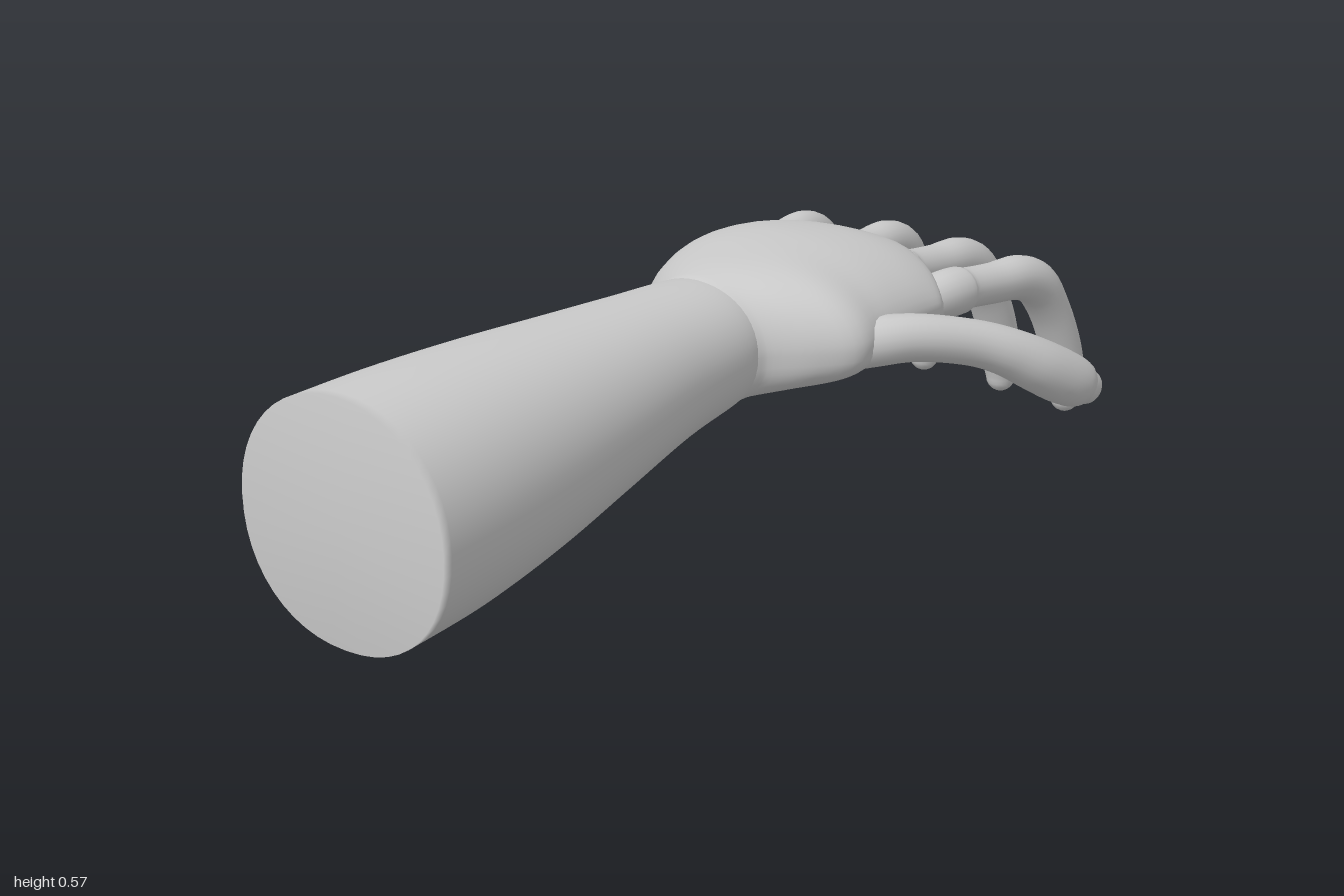
import * as THREE from 'three';

const skin = new THREE.MeshStandardMaterial({ color: 0xcccccc });
skin.name = 'pale grey';

// Skin a list of rings and close both ends with a point.
function loft(name, rings, startTip, endTip) {
  const n = rings[0].length;
  const pos = [], idx = [];
  const add = (p) => pos.push(p.x, p.y, p.z) / 3 - 1;
  rings.forEach((r) => r.forEach(add));
  for (let i = 0; i < rings.length - 1; i++) {
    for (let j = 0; j < n; j++) {
      const a = i * n + j, b = i * n + (j + 1) % n;
      idx.push(a, b, a + n, b, b + n, a + n);
    }
  }
  const start = add(startTip), end = add(endTip), last = (rings.length - 1) * n;
  for (let j = 0; j < n; j++) {
    const k = (j + 1) % n;
    idx.push(start, k, j, end, last + j, last + k);
  }
  const g = new THREE.BufferGeometry();
  g.setAttribute('position', new THREE.Float32BufferAttribute(pos, 3));
  g.setIndex(idx);
  g.computeVertexNormals();
  const mesh = new THREE.Mesh(g, skin);
  mesh.name = name;
  return mesh;
}

// Smoothly sample rows of numbers (Catmull-Rom on every column).
function sample(rows, steps) {
  const out = [];
  for (let k = 0; k <= steps; k++) {
    const t = (k / steps) * (rows.length - 1);
    const i = Math.min(Math.floor(t), rows.length - 2), f = t - i;
    const row = (q) => rows[Math.max(0, Math.min(rows.length - 1, q))];
    out.push(rows[0].map((_, c) => {
      const [a, b, d, e] = [row(i - 1)[c], row(i)[c], row(i + 1)[c], row(i + 2)[c]];
      return b + 0.5 * f * (d - a + f * (2 * a - 5 * b + 4 * d - e + f * (3 * (b - d) + e - a)));
    }));
  }
  return out;
}

const power = (v, p) => Math.sign(v) * Math.abs(v) ** p;

// Cross-section across x: [x, top, bottom, zMin, zMax, edge height];
// the powers shape the upper width, lower width, top and bottom.
function section([x, top, bottom, z0, z1, mid], [pUpper, pLower, pTop, pBottom], bend = () => 0) {
  const n = 48;
  return Array.from({ length: n }, (_, j) => {
    const a = (j / n) * Math.PI * 2, c = Math.cos(a);
    const y = c > 0 ? mid + c ** pTop * (top - mid) : mid - Math.abs(c) ** pBottom * (mid - bottom);
    const z = (z0 + z1) / 2 + power(Math.sin(a), c > 0 ? pUpper : pLower) * (z1 - z0) / 2;
    return new THREE.Vector3(x - bend(x, z), y, z);
  });
}

function forearm() {
  const rows = [
    [-1, 0.571, 0.098, -0.332, 0.142, 0.335],
    [-0.8, 0.566, 0.11, -0.325, 0.135, 0.34],
    [-0.6, 0.556, 0.143, -0.303, 0.12, 0.35],
    [-0.4, 0.542, 0.19, -0.272, 0.1, 0.365],
    [-0.2, 0.527, 0.235, -0.243, 0.078, 0.38],
    [-0.03, 0.512, 0.26, -0.228, 0.064, 0.385],
    [0.03, 0.495, 0.29, -0.205, 0.04, 0.385],
  ];
  const rings = sample(rows, 36).map((r) => section(r, [0.96, 0.92, 0.98, 0.92]));
  return loft('forearm', rings, new THREE.Vector3(-1, 0.335, -0.095),
    new THREE.Vector3(0.03, 0.385, -0.085));
}

function palm() {
  const rows = [
    [-0.1, 0.492, 0.29, -0.2, 0.035, 0.385],
    [-0.03, 0.511, 0.27, -0.226, 0.062, 0.385],
    [0.0, 0.517, 0.274, -0.238, 0.08, 0.385],
    [0.06, 0.524, 0.282, -0.28, 0.145, 0.385],
    [0.13, 0.527, 0.286, -0.325, 0.197, 0.385],
    [0.22, 0.526, 0.284, -0.358, 0.187, 0.388],
    [0.32, 0.519, 0.28, -0.378, 0.18, 0.388],
    [0.43, 0.5, 0.28, -0.387, 0.175, 0.386],
    [0.51, 0.47, 0.28, -0.386, 0.172, 0.382],
    [0.532, 0.442, 0.288, -0.38, 0.165, 0.375],
  ];
  // The knuckle edge curves back toward both sides.
  const bend = (x, z) => 0.1 * THREE.MathUtils.clamp((x - 0.15) / 0.38, 0, 1) ** 1.5
    * (Math.abs(z + 0.01) / (z < -0.01 ? 0.375 : 0.19)) ** 1.8;
  const rings = sample(rows, 36).map((r) => section(r, [0.96, 0.86, 1.08, 0.75], bend));
  return loft('palm', rings, new THREE.Vector3(-0.1, 0.385, -0.085),
    new THREE.Vector3(0.535, 0.365, -0.06));
}

// Digit from rows of [x, y, z, radius] with a rounded tip
function digit(name, rows) {
  const pts = sample(rows, 44);
  const at = (i) => new THREE.Vector3(...pts[Math.max(0, Math.min(pts.length - 1, i))]);
  const run = at(pts.length).sub(at(0));
  const side = new THREE.Vector3(-run.z, 0, run.x).normalize();
  const n = 20;
  const ring = (centre, tangent, r) => {
    const v = tangent.clone().cross(side).normalize();
    return Array.from({ length: n }, (_, j) => {
      const a = (j / n) * Math.PI * 2;
      return centre.clone().addScaledVector(side, r * Math.cos(a)).addScaledVector(v, r * Math.sin(a));
    });
  };
  const rings = pts.map((p, i) => ring(at(i), at(i + 1).sub(at(i - 1)).normalize(), p[3]));
  const end = at(pts.length), r = pts[pts.length - 1][3];
  const dir = end.clone().sub(at(pts.length - 2)).normalize();
  for (const a of [0.3, 0.6, 0.9, 1.2]) {
    rings.push(ring(end.clone().addScaledVector(dir, r * Math.sin(a)), dir, r * Math.cos(a)));
  }
  return loft(name, rings, at(0), end.clone().addScaledVector(dir, r));
}

// Shared finger bend: [fraction of reach, height, radius]
const fingerBend = [
  [-0.1, 0.375, 0.04], [0.06, 0.376, 0.049], [0.17, 0.372, 0.048], [0.21, 0.37, 0.042],
  [0.38, 0.357, 0.042], [0.55, 0.346, 0.046], [0.68, 0.314, 0.047], [0.775, 0.25, 0.044],
  [0.845, 0.18, 0.044], [0.888, 0.12, 0.043], [0.908, 0.07, 0.04], [0.911, 0.03, 0.031],
];

// [name, base x, reach x, base z, tip z, lift, scale]
const fingers = [
  ['indexFinger', 0.47, 0.958, 0.12, 0.162, 0.013, 1],
  ['middleFinger', 0.5, 1.002, -0.027, -0.027, 0, 1],
  ['ringFinger', 0.49, 0.968, -0.172, -0.205, 0.018, 1],
  ['littleFinger', 0.42, 0.905, -0.332, -0.381, 0.032, 0.93],
];

export function createModel() {
  const model = new THREE.Group();
  model.name = 'forearmAndHand';
  model.add(forearm(), palm());

  for (const [name, x0, x1, z0, z1, lift, s] of fingers) {
    model.add(digit(name, fingerBend.map(([f, y, r]) => [
      x0 + f * (x1 - x0), y + lift * Math.max(0, f), z0 + f * (z1 - z0) / 0.9, r * s,
    ])));
  }

  model.add(digit('thumb', [
    [0.12, 0.368, 0.1, 0.05], [0.2, 0.376, 0.165, 0.05], [0.28, 0.372, 0.215, 0.047],
    [0.38, 0.346, 0.27, 0.046], [0.45, 0.315, 0.31, 0.049], [0.515, 0.275, 0.34, 0.054],
    [0.58, 0.234, 0.36, 0.055], [0.625, 0.208, 0.372, 0.049], [0.647, 0.196, 0.377, 0.036],
  ]));

  // Small hinge under the wrist
  const hinge = new THREE.Mesh(new THREE.BoxGeometry(0.008, 0.05, 0.06), skin);
  hinge.name = 'wristHinge';
  hinge.position.set(-0.05, 0.24, -0.115);
  model.add(hinge);
  return model;
}
